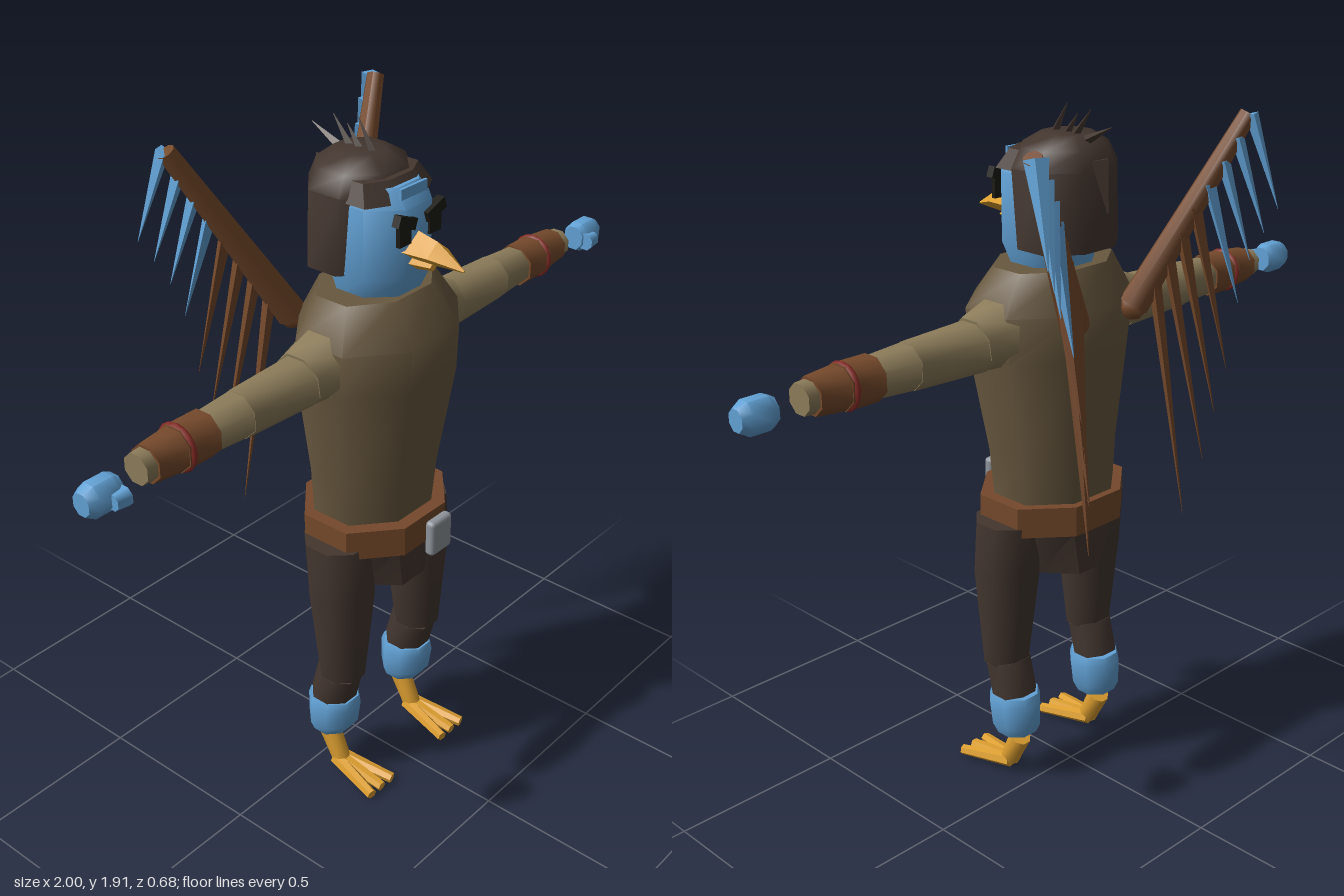
import * as THREE from 'three';
import { toCreasedNormals } from 'three/addons/utils/BufferGeometryUtils.js';
import { RoundedBoxGeometry } from 'three/addons/geometries/RoundedBoxGeometry.js';

const mat = (name, color) => {
  const m = new THREE.MeshStandardMaterial({ color });
  m.name = name;
  return m;
};

// Closed solid through rings [y, halfWidth, halfDepth, centreZ, centreX], listed bottom to top
function loft(sections, sides = 8, crease = 0.9) {
  const phase = sides > 4 ? Math.PI / sides : 0;
  const k = sides > 4 ? 1 / Math.cos(Math.PI / sides) : 1;
  const pos = [], idx = [];
  for (const [y, rx, rz, cz = 0, cx = 0] of sections) {
    for (let i = 0; i < sides; i++) {
      const a = phase + (i / sides) * Math.PI * 2;
      pos.push(cx + Math.sin(a) * rx * k, y, cz + Math.cos(a) * rz * k);
    }
  }
  const last = (sections.length - 1) * sides;
  for (let i = 0; i < sides; i++) {
    const j = (i + 1) % sides;
    for (let r = 0; r < last; r += sides) {
      idx.push(r + i, r + j, r + sides + j, r + i, r + sides + j, r + sides + i);
    }
    if (i > 0 && i < sides - 1) idx.push(0, i + 1, i, last, last + i, last + i + 1);
  }
  const g = new THREE.BufferGeometry();
  g.setAttribute('position', new THREE.Float32BufferAttribute(pos, 3));
  g.setIndex(idx);
  return toCreasedNormals(g, crease);
}

// Tapered rod between two points; flat squashes its local depth
function rod(a, b, r0, r1, sides = 8, flat = 1) {
  const A = new THREE.Vector3(...a), B = new THREE.Vector3(...b);
  const d = B.clone().sub(A);
  const g = loft([[0, r0, r0 * flat], [d.length(), r1, r1 * flat]], sides);
  const q = new THREE.Quaternion().setFromUnitVectors(new THREE.Vector3(0, 1, 0), d.normalize());
  return g.applyQuaternion(q).translate(...a);
}

export function createModel() {
  const model = new THREE.Group();
  model.name = 'wingedBirdFigure';
  const tunic = mat('tunicBrown', 0x68583f);
  const sleeve = mat('sleeveTan', 0x8c7c5a);
  const dark = mat('darkBrown', 0x43362f);
  const leather = mat('leatherBrown', 0x75492b);
  const blue = mat('featherBlue', 0x62a2d6);
  const gold = mat('beakGold', 0xdc9e30);
  const grey = mat('buckleGrey', 0x8f959c);
  const red = mat('bandRed', 0x852a24);
  const black = mat('eyeBlack', 0x1b1a14);
  const add = (name, geo, m, parent = model) => {
    const mesh = new THREE.Mesh(geo, m);
    mesh.name = name;
    parent.add(mesh);
    return mesh;
  };

  // Torso, hips and belt
  add('torso', loft([
    [0.85, 0.17, 0.145, 0.062], [1.0, 0.18, 0.155, 0.065], [1.28, 0.225, 0.185, 0.075],
    [1.4, 0.23, 0.185, 0.078], [1.505, 0.17, 0.125, 0.065],
  ]), tunic);
  add('hips', loft([[0.65, 0.115, 0.145, 0.065], [0.78, 0.165, 0.145, 0.065], [0.86, 0.17, 0.145, 0.065]]), dark);
  add('belt', loft([[0.785, 0.205, 0.175, 0.07], [0.87, 0.205, 0.175, 0.07]], 8, 0.3), leather);
  add('buckle', new RoundedBoxGeometry(0.085, 0.105, 0.03, 2, 0.012).translate(0, 0.832, 0.29), grey);

  // Head and hood
  add('face', loft([
    [1.49, 0.1, 0.1, 0.07], [1.56, 0.122, 0.125, 0.076], [1.74, 0.122, 0.125, 0.076], [1.785, 0.1, 0.09, 0.076],
  ]), blue);
  add('hood', loft([
    [1.555, 0.138, 0.112, 0.008], [1.76, 0.14, 0.122, 0.02], [1.81, 0.115, 0.105, 0.02], [1.842, 0.065, 0.06, 0.015],
  ]), dark);
  add('fringe', loft([[1.75, 0.13, 0.07, 0.11], [1.8, 0.105, 0.055, 0.09]]), dark);
  add('foreheadPatch', new THREE.BoxGeometry(0.1, 0.05, 0.008).translate(0, 1.762, 0.182), blue);
  add('backTuft', rod([0, 1.785, -0.1], [0, 1.655, -0.13], 0.03, 0.003, 4), dark);
  const spikes = [[0.06, 0.01, 1.915], [0.02, -0.025, 1.89], [-0.01, -0.07, 1.905], [-0.05, -0.14, 1.87]];
  for (const [z, tipZ, tipY] of spikes) {
    add('crestSpike', rod([0, 1.825, z], [0, tipY, tipZ], 0.014, 0.001, 4), dark);
  }

  // Beak, lofted along z
  add('upperBeak', loft([
    [0.185, 0.06, 0.043, -1.633], [0.26, 0.042, 0.032, -1.628], [0.342, 0.003, 0.003, -1.605],
  ], 4, 0.3).rotateX(Math.PI / 2), gold);
  add('lowerBeak', loft([[0.185, 0.045, 0.032, -1.6], [0.25, 0.015, 0.012, -1.592]], 4, 0.3).rotateX(Math.PI / 2), gold);

  for (const s of [1, -1]) {
    const side = s > 0 ? 'left' : 'right';
    const group = (n) => {
      const g = new THREE.Group();
      g.name = side + n;
      model.add(g);
      return g;
    };

    // Eye and slanted brow
    const eyes = group('Eye');
    add('brow', new THREE.BoxGeometry(0.068, 0.03, 0.022).rotateZ(s * 0.35).translate(s * 0.056, 1.712, 0.203), black, eyes);
    add('eye', new THREE.BoxGeometry(0.044, 0.05, 0.012).translate(s * 0.058, 1.678, 0.202), black, eyes);

    // Arm
    const arm = group('Arm');
    const along = (name, x0, x1, r0, r1, m, y0 = 1.33, y1 = y0) =>
      add(name, rod([s * x0, y0, 0.065], [s * x1, y1, 0.065], r0, r1), m, arm);
    along('shoulder', 0.18, 0.29, 0.088, 0.068, sleeve, 1.35, 1.335);
    along('upperArm', 0.27, 0.505, 0.066, 0.058, sleeve);
    along('forearm', 0.5, 0.83, 0.057, 0.038, sleeve);
    along('bracerCuff', 0.615, 0.715, 0.056, 0.056, leather);
    along('bracer', 0.71, 0.8, 0.054, 0.046, leather);
    add('armBand', new THREE.TorusGeometry(0.055, 0.009, 6, 16).rotateY(Math.PI / 2).translate(s * 0.703, 1.33, 0.065), red, arm);

    // Floating hand, lofted along x
    const hand = group('Hand');
    add('palm', loft([[-0.05, 0.034, 0.03], [-0.032, 0.042, 0.038], [0.025, 0.042, 0.038], [0.05, 0.028, 0.026]])
      .rotateZ(-s * Math.PI / 2).translate(s * 0.95, 1.322, 0.074), blue, hand);
    add('thumb', rod([s * 0.905, 1.318, 0.112], [s * 0.945, 1.318, 0.112], 0.024, 0.02), blue, hand);

    // Leg
    const leg = group('Leg');
    add('thigh', loft([
      [0.37, 0.06, 0.062, 0.093, s * 0.165], [0.66, 0.09, 0.088, 0.087, s * 0.16], [0.81, 0.082, 0.087, 0.077, s * 0.166],
    ]), dark, leg);
    add('shin', rod([s * 0.165, 0.272, 0.06], [s * 0.165, 0.372, 0.085], 0.06, 0.06), dark, leg);
    add('ankleCuff', loft([
      [0.155, 0.055, 0.052, 0.053, s * 0.163], [0.185, 0.066, 0.068, 0.057, s * 0.163],
      [0.255, 0.069, 0.073, 0.062, s * 0.163], [0.278, 0.063, 0.066, 0.063, s * 0.163],
    ]), blue, leg);
    add('ankle', rod([s * 0.163, 0.04, 0.088], [s * 0.163, 0.132, 0.042], 0.025, 0.029), gold, leg);
    for (const spread of [-0.045, 0, 0.045]) {
      add('toe', rod([s * 0.163 + spread * 0.2, 0.04, 0.075], [s * 0.163 + spread, 0.018, 0.24], 0.018, 0.013, 6), gold, leg);
    }

    // Wing: a bone with hanging feathers that lengthen toward the body
    const wing = group('Wing');
    const root = new THREE.Vector3(s * 0.11, 1.39, -0.12), tip = new THREE.Vector3(s * 0.385, 1.87, -0.258);
    add('wingBone', rod(root.toArray(), tip.toArray(), 0.038, 0.022), leather, wing);
    add('wingJoint', new THREE.SphereGeometry(0.038, 8, 6).translate(...root.toArray()), leather, wing);
    const feathers = [
      [0.42, 1.63, -0.34], [0.385, 1.57, -0.325], [0.35, 1.5, -0.31], [0.307, 1.395, -0.31],
      [0.275, 1.22, -0.305], [0.25, 1.1, -0.29], [0.22, 0.97, -0.28], [0.185, 0.81, -0.245],
    ];
    feathers.forEach(([x, y, z], i) => {
      const top = tip.clone().lerp(root, i * 0.12);
      add('feather', rod([top.x, top.y, top.z - 0.01], [s * x, y, z], 0.03, 0.001, 4, 0.6), i < 4 ? blue : leather, wing);
    });
  }
  return model;
}
